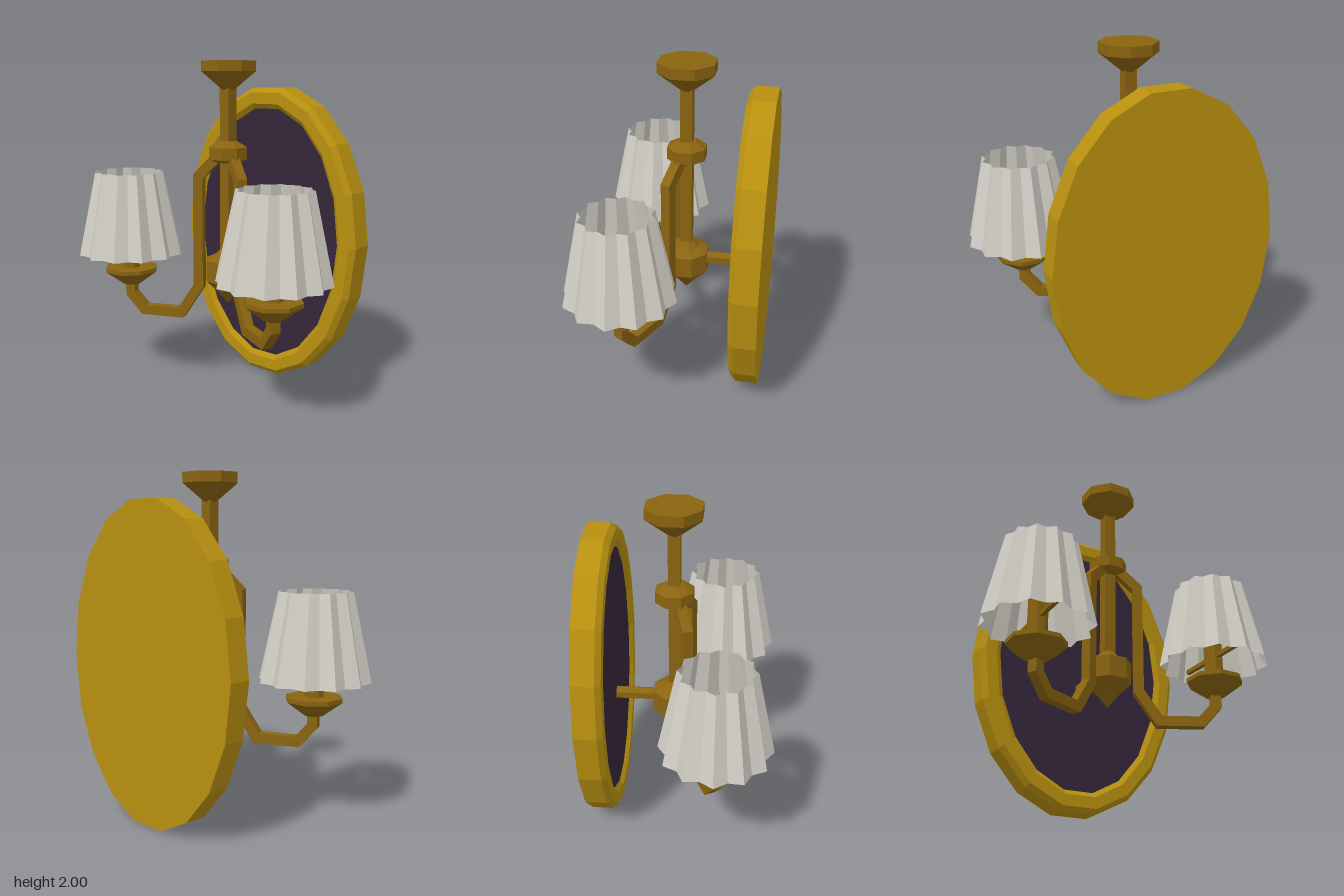
import * as THREE from 'three';

const mat = (name, color) => new THREE.MeshStandardMaterial({ name, color, flatShading: true });

export function createModel() {
  const root = new THREE.Group();
  root.name = 'wallLamp';
  const brass = mat('brass', 0x8a6410);
  const gold = mat('gold', 0xb8900f);
  const glass = mat('darkGlass', 0x34263a);
  const cloth = mat('shadeCloth', 0xd2cfc6);
  cloth.side = THREE.DoubleSide;
  const bulbMat = mat('bulbGrey', 0xa8a8ac);

  const add = (parent, name, geo, material, x = 0, y = 0, z = 0) => {
    const m = new THREE.Mesh(geo, material);
    m.name = name;
    m.position.set(x, y, z);
    parent.add(m);
    return m;
  };
  const pts = (list) => list.map(([a, b]) => new THREE.Vector2(a, b));

  // Octagonal turned part; radii are measured to the flat sides
  const turned = (profile) => new THREE.LatheGeometry(
    pts(profile.map(([r, y]) => [r / Math.cos(Math.PI / 8), y])), 8, Math.PI / 8);

  // 18-sided oval: a lathe facing +z, stretched in height with an even rim width
  const oval = (profile) => {
    const g = new THREE.LatheGeometry(pts(profile), 18, Math.PI / 18).rotateX(Math.PI / 2);
    const p = g.attributes.position;
    for (let i = 0; i < p.count; i++) {
      const r = Math.hypot(p.getX(i), p.getY(i));
      if (r > 1e-4) p.setY(i, p.getY(i) * (1 + 0.259 / r));
    }
    return g;
  };

  // Oval backplate
  add(root, 'mirrorFrame', oval([[0, -0.55], [0.675, -0.55], [0.675, -0.42],
    [0.645, -0.39], [0.575, -0.39], [0.545, -0.415]]), gold, 0, 0.92, 0);
  add(root, 'mirrorGlass', oval([[0.545, -0.415], [0, -0.415]]), glass, 0, 0.92, 0);

  // Central column
  const column = new THREE.Group();
  column.name = 'column';
  column.position.z = -0.053;
  root.add(column);
  add(column, 'canopy', turned([[0, 1.83], [0.03, 1.83], [0.157, 1.94], [0.157, 2], [0, 2]]), brass);
  add(column, 'stem', new THREE.BoxGeometry(0.07, 1.08, 0.07), brass, 0, 1.32, 0);
  add(column, 'upperHub', turned([[0, 1.41], [0.07, 1.41], [0.108, 1.43], [0.108, 1.5],
    [0.05, 1.535], [0, 1.535]]), brass);
  add(column, 'lowerHub', turned([[0, 0.54], [0.07, 0.63], [0.13, 0.69], [0.13, 0.82],
    [0.07, 0.85], [0.04, 0.885], [0, 0.885]]), brass);
  add(root, 'wallRod', new THREE.CylinderGeometry(0.04, 0.04, 0.28, 6).rotateX(Math.PI / 2),
    brass, 0, 0.77, -0.28);

  // Square bar bent along a flat path, with mitred corners
  const bentBar = (path, width) => {
    const p = pts(path), left = [], right = [];
    p.forEach((q, i) => {
      const a = q.clone().sub(p[Math.max(i - 1, 0)]).normalize();
      const b = p[Math.min(i + 1, p.length - 1)].clone().sub(q).normalize();
      const t = a.clone().add(b).normalize();
      const along = i === 0 ? b : a;
      const n = new THREE.Vector2(-t.y, t.x).multiplyScalar(width / 2 / t.dot(along));
      left.push(q.clone().add(n));
      right.unshift(q.clone().sub(n));
    });
    return new THREE.ExtrudeGeometry(new THREE.Shape([...left, ...right]),
      { depth: width, bevelEnabled: false }).translate(0, 0, -width / 2);
  };
  const armGeo = bentBar([[0.06, 1.445], [0.182, 1.32], [0.182, 0.64], [0.3, 0.458],
    [0.545, 0.458], [0.635, 0.56], [0.635, 0.66]], 0.06);

  // Pleated shade with twelve ridges
  const shadeGeo = new THREE.CylinderGeometry(0.213, 0.323, 0.512, 24, 1, true);
  const sp = shadeGeo.attributes.position;
  for (let i = 0; i < sp.count; i++) {
    if ((i % 25) % 2) {
      sp.setX(i, sp.getX(i) * 0.875);
      sp.setZ(i, sp.getZ(i) * 0.875);
    }
  }

  const cupGeo = turned([[0, 0.62], [0.05, 0.62], [0.155, 0.705], [0.155, 0.73], [0, 0.73]]);
  const candleGeo = turned([[0, 0.73], [0.052, 0.73], [0.052, 1.0], [0, 1.0]]);
  const bulbGeo = new THREE.LatheGeometry(
    pts([[0.03, 1.0], [0.052, 1.07], [0, 1.24]]), 4, Math.PI / 4);

  // Two mirrored lamps
  for (const side of [1, -1]) {
    const name = side > 0 ? 'left' : 'right';
    const arm = add(root, name + 'Arm', armGeo, brass, 0, 0, -0.053);
    arm.rotation.y = side > 0 ? -Math.atan2(0.273, 0.575) : Math.PI + Math.atan2(0.273, 0.575);
    const lamp = new THREE.Group();
    lamp.name = name + 'Lamp';
    lamp.position.set(side * 0.575, 0, 0.22);
    root.add(lamp);
    add(lamp, 'dripCup', cupGeo, brass);
    add(lamp, 'candleTube', candleGeo, brass);
    add(lamp, 'bulb', bulbGeo, bulbMat);
    add(lamp, 'shadeSupport', new THREE.BoxGeometry(0.026, 0.026, 0.54), brass, 0, 0.87, 0);
    add(lamp, 'shade', shadeGeo, cloth, 0, 1.076, 0);
  }
  return root;
}
